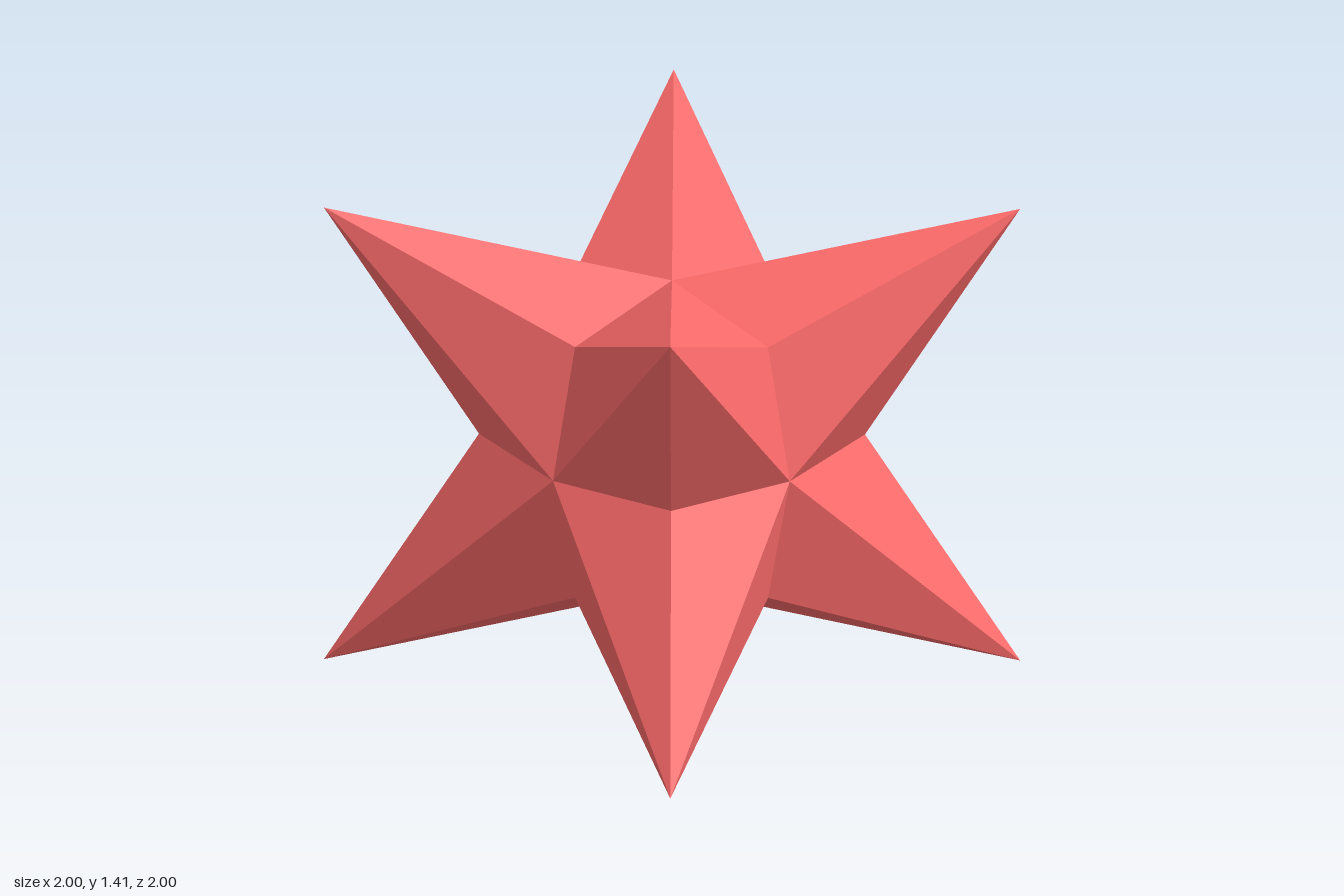
import * as THREE from 'three';

// Eight-pointed star: a cube whose corners are spikes, with each face centre
// and edge midpoint drawn inwards, standing with its side edges on the axes.
const TIP = Math.SQRT1_2; // corner coordinate
const EDGE = 0.392;       // edge midpoint coordinate
const FACE = 0.481;       // face centre coordinate

function starGeometry() {
  const positions = [];
  // axis order (i, j, k) and its parity
  const orders = [
    [0, 1, 2, 1], [1, 2, 0, 1], [2, 0, 1, 1],
    [0, 2, 1, -1], [2, 1, 0, -1], [1, 0, 2, -1],
  ];
  for (const sx of [-1, 1]) for (const sy of [-1, 1]) for (const sz of [-1, 1]) {
    const s = [sx, sy, sz];
    for (const [i, j, , parity] of orders) {
      const centre = [0, 0, 0], edge = [0, 0, 0];
      centre[i] = FACE * s[i];
      edge[i] = EDGE * s[i];
      edge[j] = EDGE * s[j];
      const tip = s.map((v) => v * TIP);
      // keep every triangle facing outwards
      const outward = parity * sx * sy * sz > 0;
      positions.push(...centre, ...(outward ? edge : tip), ...(outward ? tip : edge));
    }
  }
  const geometry = new THREE.BufferGeometry();
  geometry.setAttribute('position', new THREE.Float32BufferAttribute(positions, 3));
  geometry.rotateY(Math.PI / 4);
  geometry.translate(0, TIP, 0);
  geometry.computeVertexNormals();
  return geometry;
}

export function createModel() {
  const group = new THREE.Group();
  group.name = 'eightPointedStar';
  const material = new THREE.MeshStandardMaterial({ color: 0xff6b6b, flatShading: true });
  const star = new THREE.Mesh(starGeometry(), material);
  star.name = 'starBody';
  group.add(star);
  return group;
}
